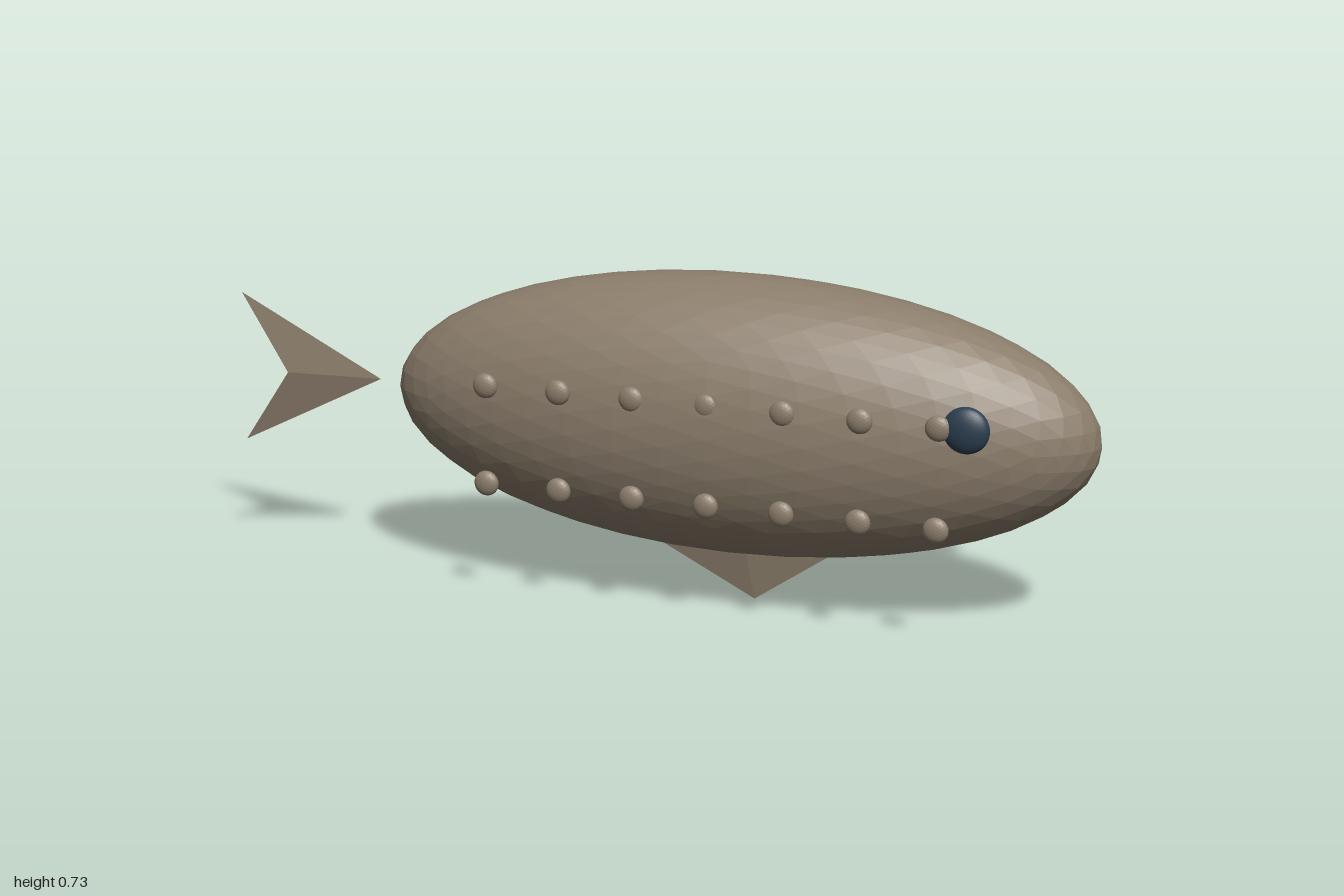
import * as THREE from 'three';

const skin = new THREE.MeshStandardMaterial({ color: 0x8b7d6b, flatShading: true });
skin.name = 'skin';
const eyeBlue = new THREE.MeshStandardMaterial({ color: 0x2c3e50, flatShading: true });
eyeBlue.name = 'eyeBlue';

// Faceted ellipsoid
function ellipsoid(name, material, detail, radii, position) {
  const geometry = new THREE.IcosahedronGeometry(1, detail).scale(...radii);
  const mesh = new THREE.Mesh(geometry, material);
  mesh.name = name;
  mesh.position.set(...position);
  return mesh;
}

// Fin with sharp edges: a and b lie left and right of the tip, ridge is the thick middle
function fin(name, tip, a, b, ridge, halfThickness) {
  const points = [[...tip, 0], [...a, 0], [...b, 0], [...ridge, halfThickness], [...ridge, -halfThickness]];
  const faces = [0, 1, 3, 0, 3, 2, 0, 4, 1, 0, 2, 4, 1, 4, 3, 2, 3, 4];
  const geometry = new THREE.BufferGeometry();
  geometry.setAttribute('position', new THREE.Float32BufferAttribute(faces.flatMap((i) => points[i]), 3));
  geometry.computeVertexNormals();
  const mesh = new THREE.Mesh(geometry, skin);
  mesh.name = name;
  return mesh;
}

export function createModel() {
  const model = new THREE.Group();
  model.name = 'fish';

  model.add(ellipsoid('body', skin, 7, [0.8, 0.31, 0.235], [0.2, 0.42, 0]));

  // Eyes on both flanks
  for (const side of [1, -1]) {
    model.add(ellipsoid(side > 0 ? 'frontEye' : 'backEye', eyeBlue, 7, [0.05, 0.05, 0.024], [0.76, 0.488, side * 0.207]));
  }

  // Two rows of bumps on the front flank only
  const bumps = new THREE.Group();
  bumps.name = 'bumps';
  for (const y of [0.49, 0.271]) {
    for (let i = 0; i < 7; i++) {
      bumps.add(ellipsoid('bump', skin, 3, [0.028, 0.028, 0.015], [-0.304 + i * 0.168, y, 0.219]));
    }
  }
  model.add(bumps);

  model.add(fin('tailFin', [-0.655, 0.42], [-1, 0.595], [-1, 0.247], [-0.88, 0.42], 0.018));
  model.add(fin('bellyFin', [0.24, 0], [0.46, 0.15], [-0.06, 0.15], [0.22, 0.13], 0.02));

  return model;
}
